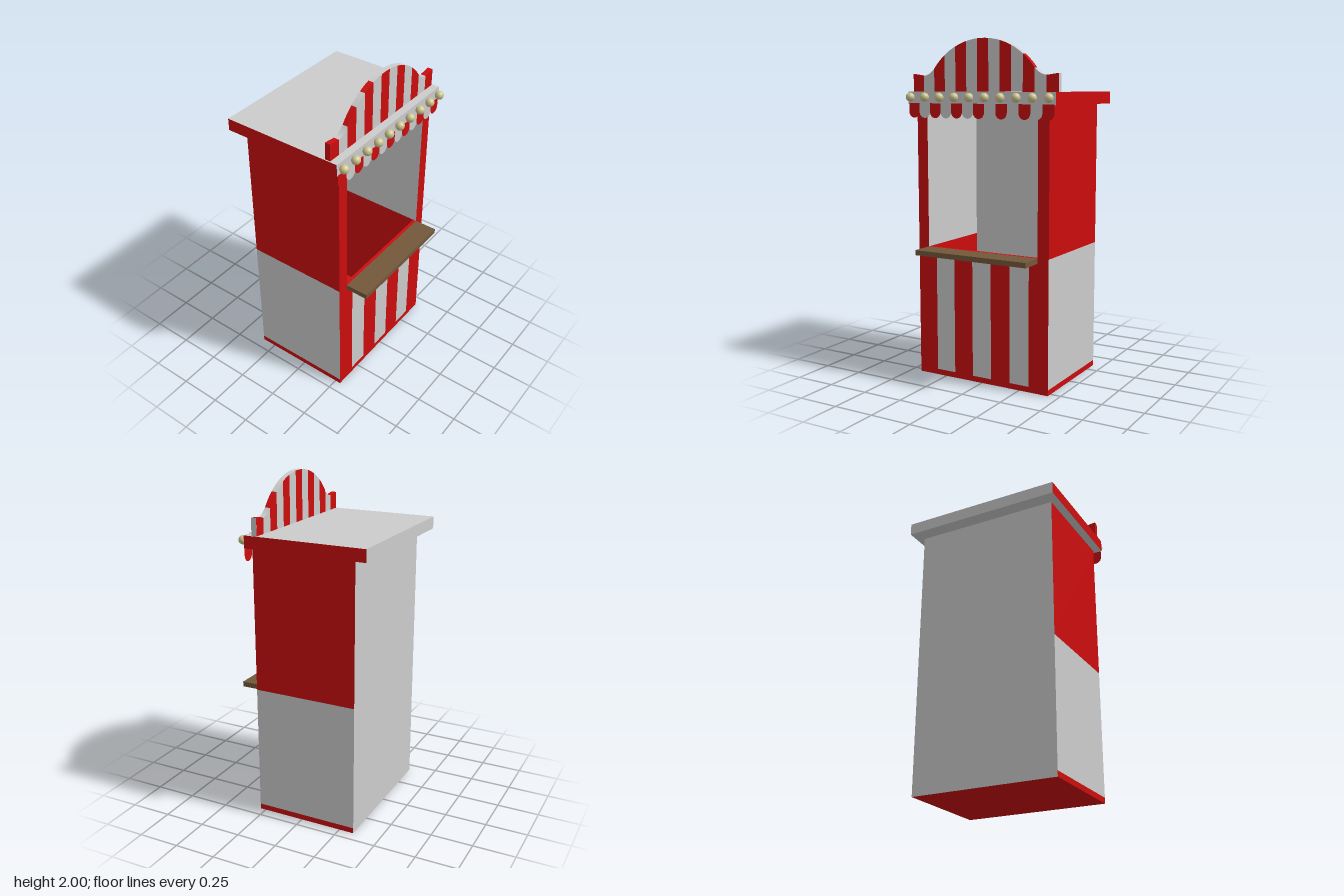
import * as THREE from 'three';

export function createModel() {
  const mat = (name, color, side = THREE.FrontSide) => {
    const m = new THREE.MeshStandardMaterial({ color, side });
    m.name = name;
    return m;
  };
  const red = mat('red paint', 0xcc0d0d, THREE.DoubleSide);
  const white = mat('white paint', 0xcccccc, THREE.DoubleSide);
  const wood = mat('counter wood', 0x73583a);
  const glow = mat('bulb cream', 0xccc58f);

  const model = new THREE.Group();
  model.name = 'stripedBooth';

  const add = (name, geometry, material) => {
    const mesh = new THREE.Mesh(geometry, material);
    mesh.name = name;
    model.add(mesh);
    return mesh;
  };
  // Box given by its limits; a material array is ordered +x, -x, +y, -y, +z, -z
  const box = (name, material, [x0, x1], [y0, y1], [z0, z1]) =>
    add(name, new THREE.BoxGeometry(x1 - x0, y1 - y0, z1 - z0), material)
      .position.set((x0 + x1) / 2, (y0 + y1) / 2, (z0 + z1) / 2);

  const W = 0.436, IN = 0.366, BACK = -0.34, FRONT = 0.285;
  const BASE = 0.033, SILL = 0.785, TOP = 1.63;

  // Base with a white back edge
  box('base', [red, red, red, red, red, white], [-W, W], [0, BASE], [BACK, FRONT]);

  // Side walls: white below and red above outside, the reverse inside
  for (const s of [-1, 1]) {
    const xs = s < 0 ? [-W, -IN] : [IN, W];
    const wall = (outer, inner) =>
      [s > 0 ? outer : inner, s > 0 ? inner : outer, red, red, red, white];
    box('lowerSideWall', wall(white, red), xs, [BASE, SILL], [BACK, FRONT - 0.02]);
    box('upperSideWall', wall(red, white), xs, [SILL, TOP], [BACK, FRONT]);
  }

  // Back wall
  box('backWall', white, [-IN, IN], [BASE, TOP], [BACK, BACK + 0.085]);

  // Striped front panel
  const panel = (2 * W) / 7;
  for (let i = 0; i < 7; i++) {
    const x = -W + i * panel;
    const c = i % 2 ? white : red;
    const end = i === 0 || i === 6 ? white : red;
    box('frontStripe', [end, end, red, red, c, red],
      [x, x + panel], [BASE, SILL], [FRONT - 0.02, FRONT]);
  }

  // Counter shelf
  box('counter', wood, [-0.367, 0.367], [0.755, SILL], [FRONT, 0.424]);

  // Flat roof with red ends
  box('roof', [red, red, white, white, white, white],
    [-0.484, 0.484], [TOP, 1.702], [-0.424, 0.308]);

  // Upper outline of the signboard: round crown flaring into low ends
  const crown = (x) => {
    const a = Math.abs(x);
    if (a < 0.33) return 2 - 0.41 + Math.sqrt(0.41 * 0.41 - a * a);
    if (a < 0.405) return 1.793 + 0.04 * ((0.405 - a) / 0.075) ** 2;
    return 1.793 + 0.01 * (a - 0.405) / 0.072;
  };

  // Signboard stripes and the scalloped valance share the same spacing
  const HALF = 0.477, N = 13, step = (2 * HALF) / N, r = step / 2;
  for (let i = 0; i < N; i++) {
    const x0 = -HALF + i * step, x1 = x0 + step, xc = x0 + r;
    const c = i % 2 ? white : red;

    const stripe = new THREE.Shape();
    stripe.moveTo(x0, 1.70);
    stripe.lineTo(x1, 1.70);
    for (let k = 0; k <= 6; k++) {
      const x = x1 - (k / 6) * step;
      stripe.lineTo(x, crown(x));
    }
    const edge = i === 6 || i === 8 ? white : c;
    add('signboardStripe',
      new THREE.ExtrudeGeometry(stripe, { depth: 0.032, bevelEnabled: false }),
      [c, edge]).position.z = 0.23;

    const tab = new THREE.Shape();
    tab.moveTo(x0, TOP + 0.005);
    tab.lineTo(x0, 1.55 + r);
    tab.absarc(xc, 1.55 + r, r, Math.PI, 2 * Math.PI, false);
    tab.lineTo(x1, TOP + 0.005);
    add('valanceTab', new THREE.ShapeGeometry(tab, 10), c).position.z = 0.31;
  }
  // White cap on the signboard's left end
  box('signboardEndCap', white, [HALF, HALF + 0.001], [1.70, 1.802], [0.23, 0.262]);

  // Row of light bulbs
  const bulb = new THREE.SphereGeometry(0.026, 20, 14);
  for (let i = 0; i < 10; i++) {
    add('bulb', bulb, glow).position.set(-0.453 + i * 0.1007, 1.67, 0.332);
  }

  return model;
}
